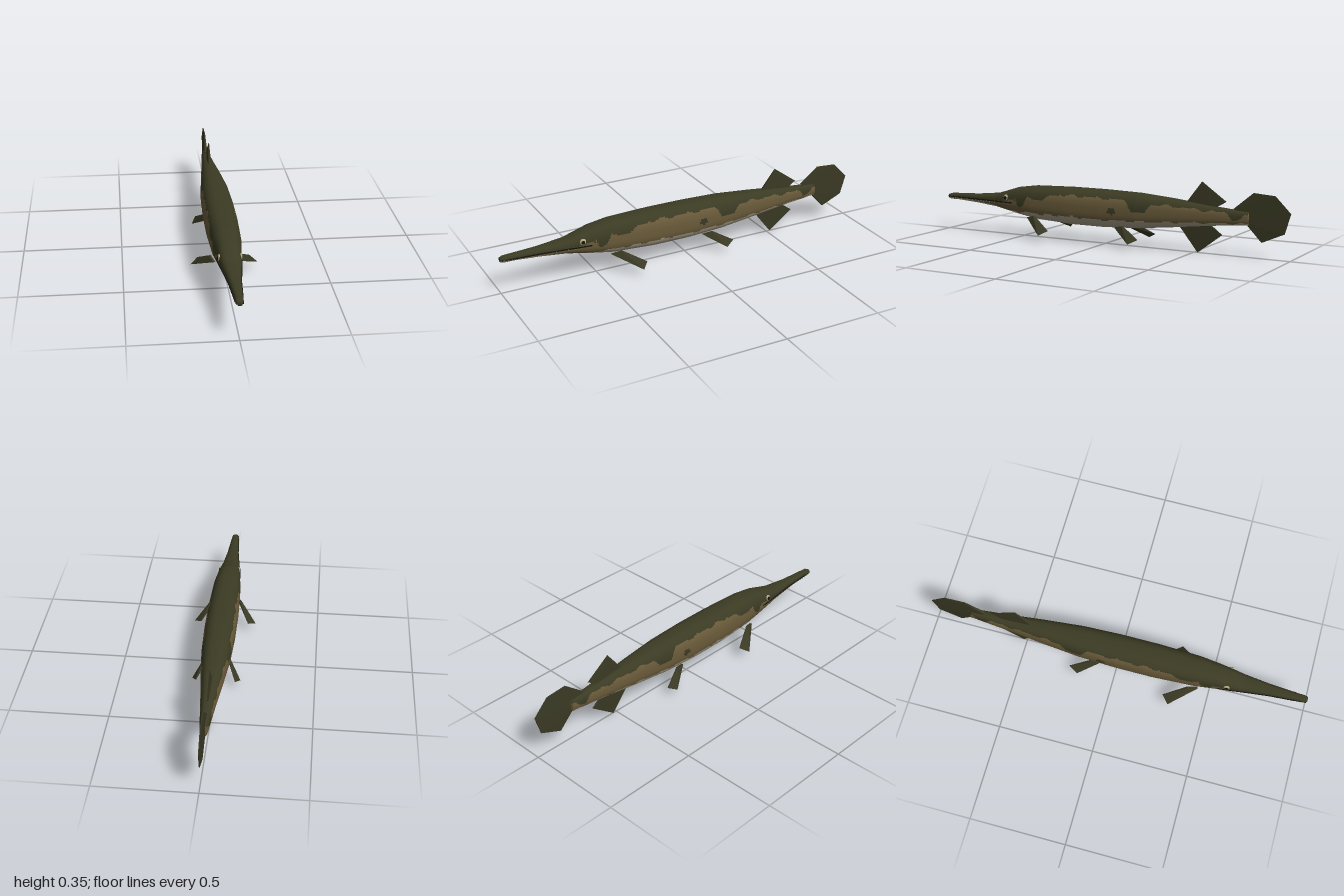
import * as THREE from 'three';
import { ConvexGeometry } from 'three/addons/geometries/ConvexGeometry.js';

const mat = (name, color) => {
  const m = new THREE.MeshStandardMaterial({ color });
  m.name = name;
  return m;
};

// body stations: z, half width, bottom y, top y
const STATIONS = [
  [0.995, 0.012, 0.172, 0.194], [0.98, 0.019, 0.168, 0.2], [0.93, 0.02, 0.168, 0.203],
  [0.8, 0.029, 0.16, 0.208], [0.66, 0.046, 0.147, 0.222], [0.6, 0.054, 0.135, 0.24],
  [0.53, 0.061, 0.12, 0.262], [0.42, 0.073, 0.102, 0.277], [0.2, 0.081, 0.089, 0.283],
  [0, 0.081, 0.089, 0.283], [-0.2, 0.074, 0.099, 0.278], [-0.4, 0.056, 0.12, 0.262],
  [-0.6, 0.036, 0.143, 0.24], [-0.79, 0.019, 0.16, 0.224],
];

function section(z) {
  let i = 0;
  while (i < STATIONS.length - 2 && z < STATIONS[i + 1][0]) i++;
  const a = STATIONS[i], b = STATIONS[i + 1];
  const t = THREE.MathUtils.clamp((z - a[0]) / (b[0] - a[0]), 0, 1);
  return [1, 2, 3].map(k => a[k] + (b[k] - a[k]) * t);
}

// 0 = back, 1 = flank, 2 = belly
function pattern(x, y, z) {
  const wave = 0.004 * Math.sin(z * 47) + 0.003 * Math.sin(z * 83 + 1);
  const dip = (c, w, d) => d * Math.exp(-Math.pow((z - c) / w, 4));
  const [, bottom, top] = section(z);
  if (z > 0.61) return y > 0.184 ? 0 : y > bottom + 0.012 || z < 0.66 ? 1 : 2;
  let back = top - 0.036 * Math.min(1, (top - bottom) / 0.16) + wave;
  back -= dip(0.48, 0.035, 0.065) + dip(0.37, 0.07, 0.03) + dip(-0.22, 0.055, 0.055) + dip(-0.73, 0.035, 0.03);
  if (z > 0.52) back -= 0.03;
  if (y > back) return 0;
  if (Math.hypot((z + 0.075) / 0.024, (y - 0.183) / 0.015) < 1) return 0;
  const belly = 0.137 + Math.max(0, -z - 0.1) * 0.045 + wave * 0.8;
  return y > belly ? 1 : 2;
}

function bodyGeometry() {
  const rings = 260, segs = 72, pos = [], faces = [[], [], []];
  for (let i = 0; i <= rings; i++) {
    const z = 0.995 - 1.785 * i / rings;
    const [w, lo, hi] = section(z);
    for (let j = 0; j < segs; j++) {
      const a = j / segs * Math.PI * 2, c = Math.cos(a), s = Math.sin(a);
      const bulge = v => Math.sign(v) * Math.pow(Math.abs(v), 0.8);
      pos.push(w * bulge(c), (lo + hi) / 2 + (hi - lo) / 2 * bulge(s), z);
    }
  }
  for (let i = 0; i < rings; i++) {
    for (let j = 0; j < segs; j++) {
      const k = (j + 1) % segs;
      const a = i * segs + j, b = i * segs + k, c = a + segs, d = b + segs;
      const mid = n => (pos[a * 3 + n] + pos[d * 3 + n]) / 2;
      faces[pattern(mid(0), mid(1), mid(2))].push(a, c, b, b, c, d);
    }
  }
  // end caps
  const last = rings * segs;
  for (let j = 1; j < segs - 1; j++) {
    faces[0].push(0, j, j + 1);
    faces[1].push(last, last + j + 1, last + j);
  }
  const g = new THREE.BufferGeometry();
  g.setAttribute('position', new THREE.Float32BufferAttribute(pos, 3));
  g.setIndex(faces.flat());
  let start = 0;
  faces.forEach((f, m) => { g.addGroup(start, f.length, m); start += f.length; });
  g.computeVertexNormals();
  return g;
}

// flat fin: each corner is [x, y, z, half thickness] and is spread along the normal
function finGeometry(corners) {
  const p = corners.map(c => new THREE.Vector3(c[0], c[1], c[2]));
  const n = p[1].clone().sub(p[0]).cross(p[2].clone().sub(p[0])).normalize();
  const pts = [];
  p.forEach((v, i) => {
    for (const s of [1, -1]) pts.push(v.clone().addScaledVector(n, s * corners[i][3]));
  });
  return new ConvexGeometry(pts);
}

export function createModel() {
  const group = new THREE.Group();
  const back = mat('dark olive', 0x3b3b24), flank = mat('tan brown', 0x6a5b3a);
  const belly = mat('pale cream', 0xa89f88), fin = mat('fin olive', 0x3a3924);
  const dark = mat('near black', 0x15140f), iris = mat('eye pale', 0xb0a67c);
  const add = (name, geometry, material) => {
    const m = new THREE.Mesh(geometry, material);
    m.name = name;
    group.add(m);
    return m;
  };

  add('body', bodyGeometry(), [back, flank, belly]);

  // median fins
  const T = 0.008, t = 0.002;
  add('dorsalFin', finGeometry([[0, 0.25, -0.46, T], [0, 0.357, -0.54, t], [0, 0.265, -0.67, t], [0, 0.225, -0.6, T]]), fin);
  add('analFin', finGeometry([[0, 0.125, -0.425, T], [0, 0.002, -0.52, t], [0, 0.1, -0.65, t], [0, 0.15, -0.58, T]]), fin);
  add('tailFin', finGeometry([[0, 0.235, -0.71, T], [0, 0.318, -0.81, t], [0, 0.31, -0.92, t], [0, 0.23, -1, t],
    [0, 0.13, -0.97, t], [0, 0.08, -0.855, t], [0, 0.175, -0.775, T]]), fin);

  // mouth line, a thin slab just wider than the snout
  const edge = [0.99, 0.93, 0.8, 0.66, 0.6, 0.54].map(z => [section(z)[0] + 0.003, z]);
  const outline = [...edge, ...edge.map(([x, z]) => [-x, z]).reverse()];
  const slab = new THREE.ExtrudeGeometry(new THREE.Shape(outline.map(([x, z]) => new THREE.Vector2(x, z))),
    { depth: 0.006, bevelEnabled: false });
  slab.rotateX(Math.PI / 2).translate(0, 0.185, 0);
  add('mouthLine', slab, dark);

  for (const s of [1, -1]) {
    const side = s > 0 ? 'left' : 'right';
    const paired = pts => finGeometry(pts.map(([x, ...r]) => [x * s, ...r]));
    add(side + 'PectoralFin', paired([[0.06, 0.112, 0.44, 0.006], [0.078, 0.126, 0.39, 0.006],
      [0.128, 0.062, 0.275, t], [0.164, 0.041, 0.31, t]]), fin);
    add(side + 'PelvicFin', paired([[0.05, 0.1, -0.08, 0.006], [0.064, 0.111, -0.13, 0.006],
      [0.1, 0.055, -0.235, t], [0.121, 0.032, -0.19, t]]), fin);

    // eye
    const eye = add(side + 'Eye', new THREE.SphereGeometry(0.018, 24, 16), iris);
    eye.scale.set(0.5, 1, 1);
    eye.position.set(s * 0.05, 0.205, 0.583);
    const pupil = add(side + 'Pupil', new THREE.SphereGeometry(0.01, 20, 12), dark);
    pupil.scale.set(0.35, 1, 1);
    pupil.position.set(s * 0.057, 0.205, 0.585);

    // small teeth along the jaw
    for (let i = 0; i < 16; i++) {
      const z = 0.96 - i * 0.02;
      const tooth = add(side + 'Tooth', new THREE.ConeGeometry(0.003, 0.012, 5), belly);
      tooth.rotation.x = Math.PI;
      tooth.position.set(s * (section(z)[0] + 0.0005), 0.175, z);
    }
  }
  return group;
}
